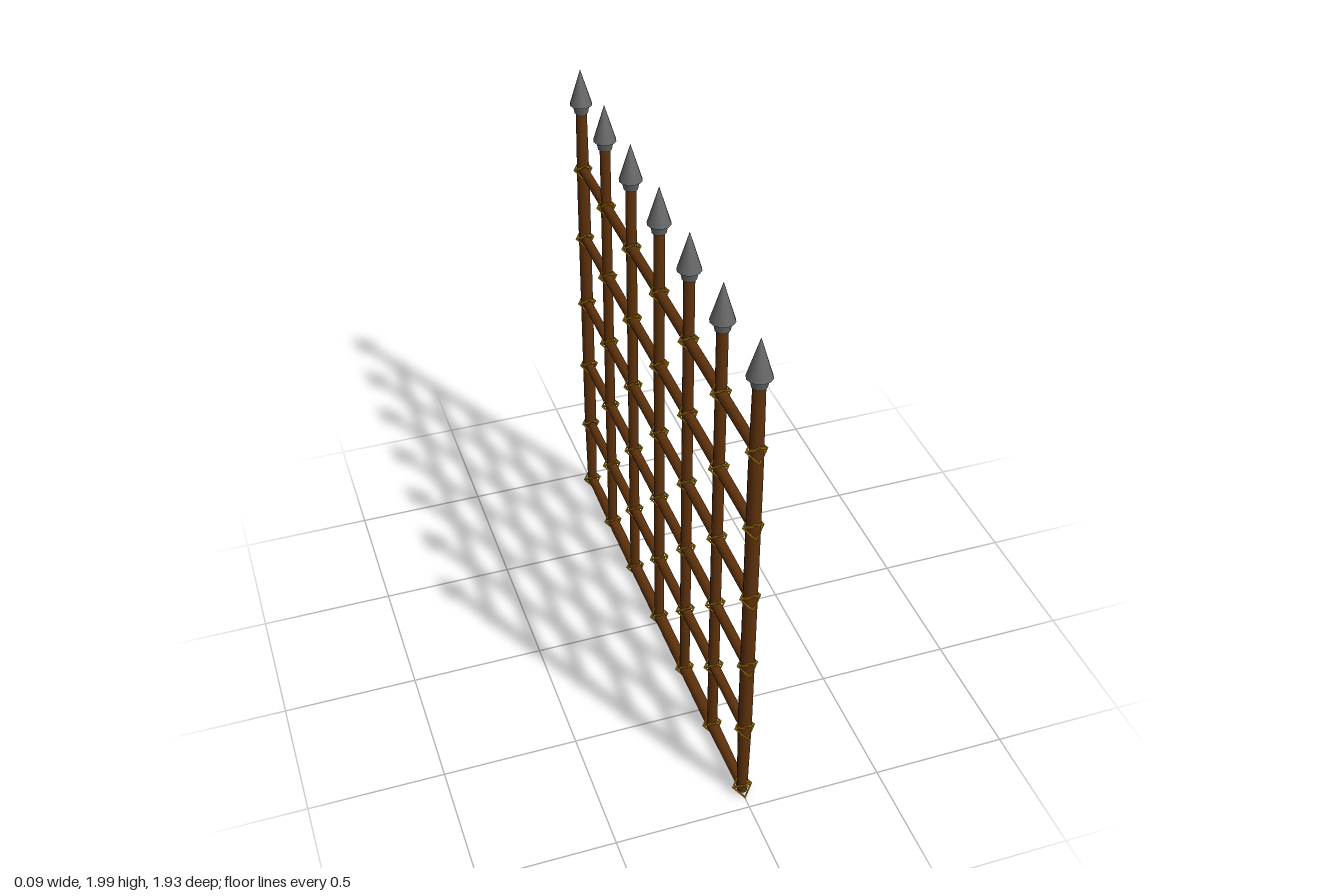
import * as THREE from 'three';

const wood = new THREE.MeshStandardMaterial({ color: 0x5e310b });
const iron = new THREE.MeshStandardMaterial({ color: 0x666666 });
const rope = new THREE.MeshStandardMaterial({ color: 0xb8860b, flatShading: true });

const postZ = [0.925, 0.61, 0.30, -0.005, -0.315, -0.62, -0.92];
const railY = [0.04, 0.347, 0.655, 0.965, 1.272, 1.58];

// Capped round pole from 0 to length, slightly thinner toward the given ends
function pole(length, r, startR, endR) {
  const pts = [[0, 0], [startR, 0], [r, length * 0.2], [r, length * 0.8], [endR, length], [0, length]];
  return new THREE.LatheGeometry(pts.map(([x, y]) => new THREE.Vector2(x, y)), 12);
}

function add(group, name, geometry, material) {
  const mesh = new THREE.Mesh(geometry, material);
  mesh.name = name;
  group.add(mesh);
  return mesh;
}

export function createModel() {
  const model = new THREE.Group();
  model.name = 'spikedLattice';

  // Upright posts, each with an iron spear tip; the outer two are thicker
  const outerPost = pole(1.83, 0.025, 0.019, 0.021);
  const innerPost = pole(1.83, 0.02, 0.019, 0.02);
  const tipCone = new THREE.ConeGeometry(0.043, 0.142, 12);
  const tipCollar = new THREE.CylinderGeometry(0.033, 0.026, 0.036, 12);
  postZ.forEach((z, i) => {
    const outer = i === 0 || i === postZ.length - 1;
    add(model, 'post', outer ? outerPost : innerPost, wood).position.set(0, 0.02, z);
    const tip = new THREE.Group();
    tip.name = 'spearTip';
    add(tip, 'spearPoint', tipCone, iron).position.y = 1.929;
    add(tip, 'spearCollar', tipCollar, iron).position.y = 1.842;
    tip.position.z = z;
    model.add(tip);
  });

  // Horizontal rails running along z
  const bottomRail = pole(1.87, 0.023, 0.018, 0.018);
  const rail = pole(1.87, 0.019, 0.018, 0.018);
  railY.forEach((y, i) => {
    const mesh = add(model, 'rail', i === 0 ? bottomRail : rail, wood);
    mesh.rotation.x = Math.PI / 2;
    mesh.position.set(0, y, -0.935);
  });

  // Crossed diamond lashings around every joint
  const loop = new THREE.TorusGeometry(0.035, 0.004, 4, 4);
  loop.scale(1, 1.26, 1);
  for (const y of railY) {
    for (const z of postZ) {
      const lashing = new THREE.Group();
      lashing.name = 'lashing';
      for (const side of [-1, 1]) {
        add(lashing, 'lashingLoop', loop, rope).rotation.x = side * Math.PI / 4;
      }
      lashing.position.set(0, y, z);
      model.add(lashing);
    }
  }
  return model;
}
